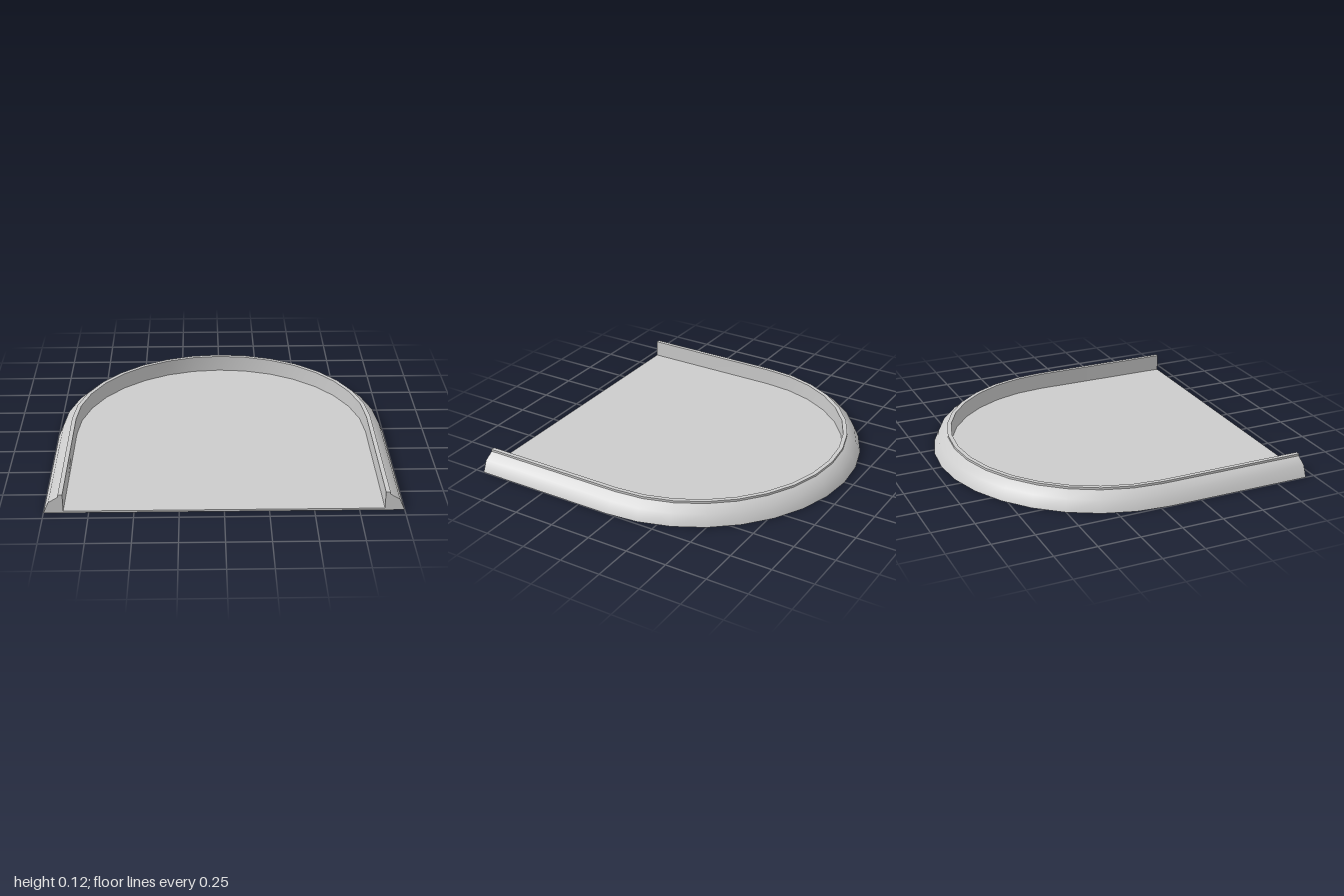
import * as THREE from 'three';
import { toCreasedNormals } from 'three/addons/utils/BufferGeometryUtils.js';

const FRONT = 0.945, CENTRE = 0.055, STEPS = 16, FLOOR = 0.012;

// Rim cross-section [radius, height], from the outer foot over the lip to the inner foot
const PROFILE = [[1, 0], [0.97, 0.068], [0.915, 0.102], [0.915, 0.115], [0.89, 0.115], [0.89, 0]];

// Arch outline [x, z] at a given radius: straight side, half circle, straight side
function archOutline(r) {
  const points = [[r, FRONT]];
  for (let i = 0; i <= STEPS; i++) {
    const a = (i / STEPS) * Math.PI;
    points.push([r * Math.cos(a), CENTRE - r * Math.sin(a)]);
  }
  points.push([-r, FRONT]);
  return points;
}

// Sweep the cross-section along the arch; the underside stays open
function rimGeometry() {
  const rows = PROFILE.map(([r, y]) => archOutline(r).map(([x, z]) => [x, y, z]));
  const positions = [];
  for (let j = 0; j < rows.length - 1; j++) {
    for (let i = 0; i < rows[j].length - 1; i++) {
      const a = rows[j][i], b = rows[j][i + 1], c = rows[j + 1][i + 1], d = rows[j + 1][i];
      positions.push(...a, ...b, ...c, ...a, ...c, ...d);
    }
  }
  const geometry = new THREE.BufferGeometry();
  geometry.setAttribute('position', new THREE.Float32BufferAttribute(positions, 3));
  return toCreasedNormals(geometry, 0.75);
}

export function createModel() {
  const group = new THREE.Group();
  group.name = 'archedTray';
  const solid = new THREE.MeshStandardMaterial({ color: 0xcccccc });
  const thin = new THREE.MeshStandardMaterial({ color: 0xcccccc, side: THREE.DoubleSide });

  const add = (name, geometry, material) => {
    const mesh = new THREE.Mesh(geometry, material);
    mesh.name = name;
    group.add(mesh);
    return mesh;
  };

  // Thin floor slab inside the rim
  const floorShape = new THREE.Shape(archOutline(0.89).map(([x, z]) => new THREE.Vector2(x, -z)));
  const floor = new THREE.ExtrudeGeometry(floorShape, { depth: FLOOR, bevelEnabled: false });
  floor.rotateX(-Math.PI / 2);
  add('floor', floor, solid);

  // Raised rim around the sides and back
  add('rim', rimGeometry(), thin);

  // Flat ends closing the rim at the front
  for (const [name, side] of [['leftRimEnd', 1], ['rightRimEnd', -1]]) {
    const shape = new THREE.Shape(PROFILE.map(([r, y]) => new THREE.Vector2(side * r, y)));
    add(name, new THREE.ShapeGeometry(shape), thin).position.z = FRONT;
  }

  return group;
}
